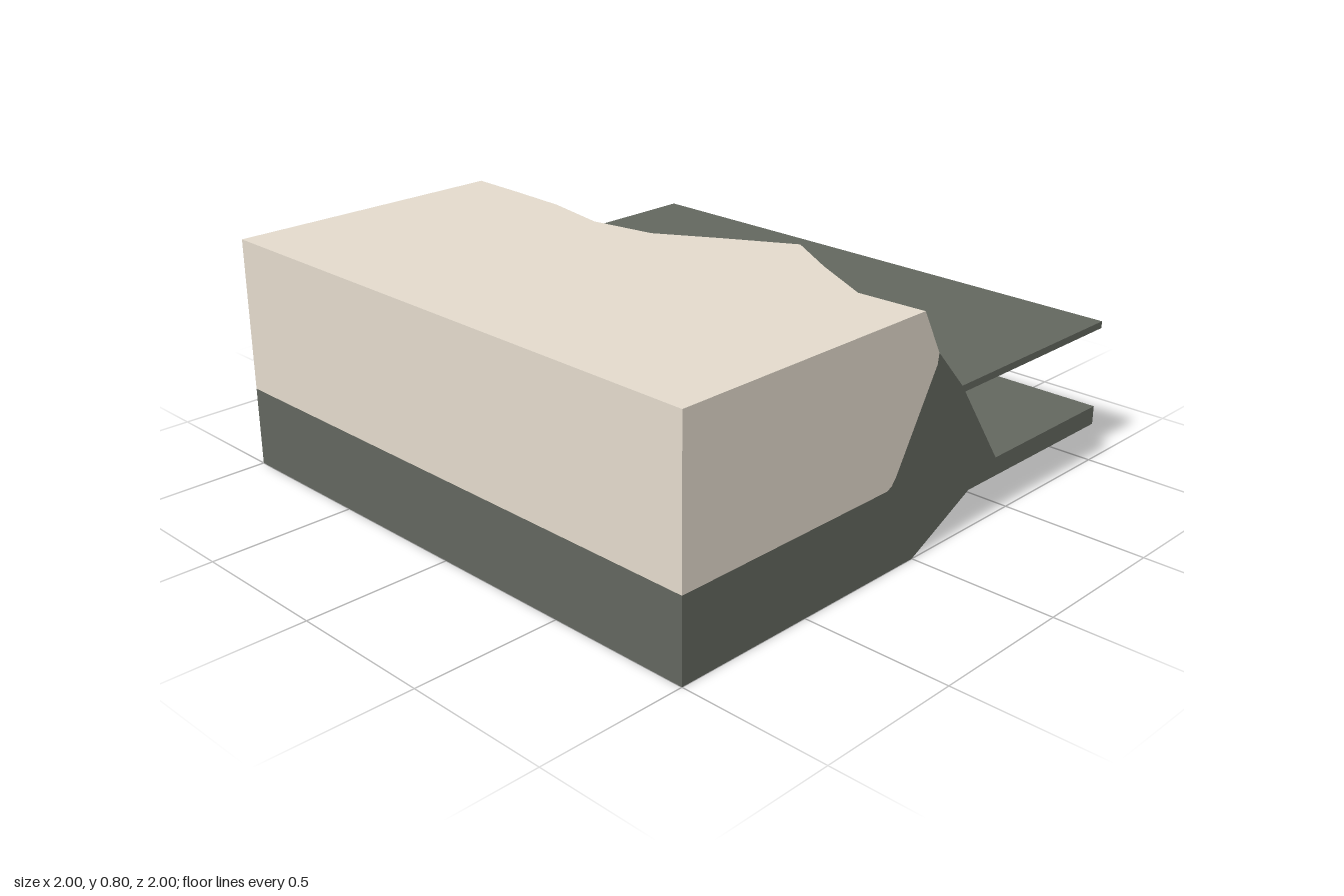
import * as THREE from 'three';

const SAND_Y = 0.275; // lower edge of the sand layer
const SLAB_Y = 0.135; // underside of the sea floor slab

// Shoreline stations from back to front: [x, z] at cliff top, waterline and sea floor
const stations = [
  [[0, -1], [0.21, -1], [0.42, -1]],
  [[-0.005, -0.8], [0.225, -0.78], [0.43, -0.78]],
  [[-0.015, -0.57], [0.22, -0.57], [0.43, -0.56]],
  [[-0.06, -0.33], [0.13, -0.26], [0.34, -0.28]],
  [[-0.02, -0.1], [0.24, -0.08], [0.45, -0.1]],
  [[0.1, 0.1], [0.31, 0.12], [0.51, 0.12]],
  [[0.23, 0.33], [0.435, 0.44], [0.645, 0.55]],
  [[0.11, 0.53], [0.33, 0.64], [0.52, 0.7]],
  [[-0.01, 0.76], [0.21, 0.79], [0.42, 0.8]],
  [[0, 1], [0.21, 1], [0.42, 1]],
];

const mix = (a, b, t) => [a[0] + (b[0] - a[0]) * t, a[1] + (b[1] - a[1]) * t];
const toVectors = (list) => list.map((p) => new THREE.Vector3(...p));

// Ridge hanging below the shore, from its crest up to the slab
const ridgeSection = ([top, , floor]) => toVectors([
  [top[0], 0, top[1]],
  [floor[0] - 0.14, SLAB_Y, floor[1]],
]);

// Cross-section of the tile, counter-clockwise from the recessed underside
function section([top, water, floor]) {
  const mid = mix(top, water, 0.5);
  const kink = Math.abs(top[1]) === 1 ? 0.025 : 0; // bank is hollowed at the tile ends
  const under = mix(water, floor, 0.08);
  return toVectors([
    [-1, SLAB_Y, floor[1]],
    [1, SLAB_Y, floor[1]],
    [1, 0.2, floor[1]],
    [floor[0], 0.2, floor[1]],
    [under[0], 0.483, under[1]],
    [1, 0.483, under[1]],
    [1, 0.507, water[1]],
    [water[0], 0.507, water[1]],
    [mid[0] - kink, 0.65, mid[1]],
    [top[0], 0.8, top[1]],
    [-1, 0.8, top[1]],
    [-1, SAND_Y, top[1]],
    [-1, 0, top[1]],
  ]);
}

// Faceted surface through all sections, between two profile points
function loft(sections, from, to) {
  const points = [];
  for (let i = 0; i < sections.length - 1; i++) {
    for (let k = from; k < to; k++) {
      const a = sections[i][k], b = sections[i][k + 1];
      const c = sections[i + 1][k + 1], d = sections[i + 1][k];
      points.push(a, b, c, a, c, d);
    }
  }
  const g = new THREE.BufferGeometry().setFromPoints(points);
  g.computeVertexNormals();
  return g;
}

// Flat end face at the front (side = 1) or back (side = -1)
function endFace(outline, side) {
  const g = new THREE.ShapeGeometry(
    new THREE.Shape(outline.map(([x, y]) => new THREE.Vector2(x * side, y))));
  if (side < 0) g.rotateY(Math.PI);
  return g.translate(0, 0, side);
}

export function createModel() {
  const sand = new THREE.MeshStandardMaterial({ color: 0xe4dbcd, flatShading: true });
  sand.name = 'sand';
  // Double-sided because the walls are seen from inside the open underside
  const rock = new THREE.MeshStandardMaterial({
    color: 0x63675f, flatShading: true, side: THREE.DoubleSide,
  });
  rock.name = 'greyRock';

  const group = new THREE.Group();
  const add = (name, geometry, material) => {
    const mesh = new THREE.Mesh(geometry, material);
    mesh.name = name;
    group.add(mesh);
  };

  // Lofted surfaces running along the shore
  const sections = stations.map(section);
  add('undersideRidge', loft(stations.map(ridgeSection), 0, 1), rock);
  add('recessedUnderside', loft(sections, 0, 1), rock);
  add('seaFloor', loft(sections, 1, 3), rock);
  add('lowerBank', loft(sections, 3, 4), rock);
  add('waterSheet', loft(sections, 4, 7), rock);
  add('upperBank', loft(sections, 7, 9), rock);
  add('sandTopAndSide', loft(sections, 9, 11), sand);
  add('rockSide', loft(sections, 11, 12), rock);

  // End faces: sand layer with a rounded lower corner, rock around it
  const sandEdge = [[-1, SAND_Y], [-0.14, SAND_Y], [-0.12, 0.285], [-0.1, 0.31],
    [0.075, 0.615], [0.08, 0.65]];
  const sandOutline = [...sandEdge, [0, 0.8], [-1, 0.8]];
  const slabAndWater = sections[0].slice(1, 8).map((p) => [p.x, p.y]);
  const rockOutline = [[-1, 0], [0, 0], [0.28, SLAB_Y], ...slabAndWater,
    ...sandEdge.slice().reverse()];
  for (const [label, side] of [['front', 1], ['back', -1]]) {
    add(label + 'SandFace', endFace(sandOutline, side), sand);
    add(label + 'RockFace', endFace(rockOutline, side), rock);
  }
  return group;
}
